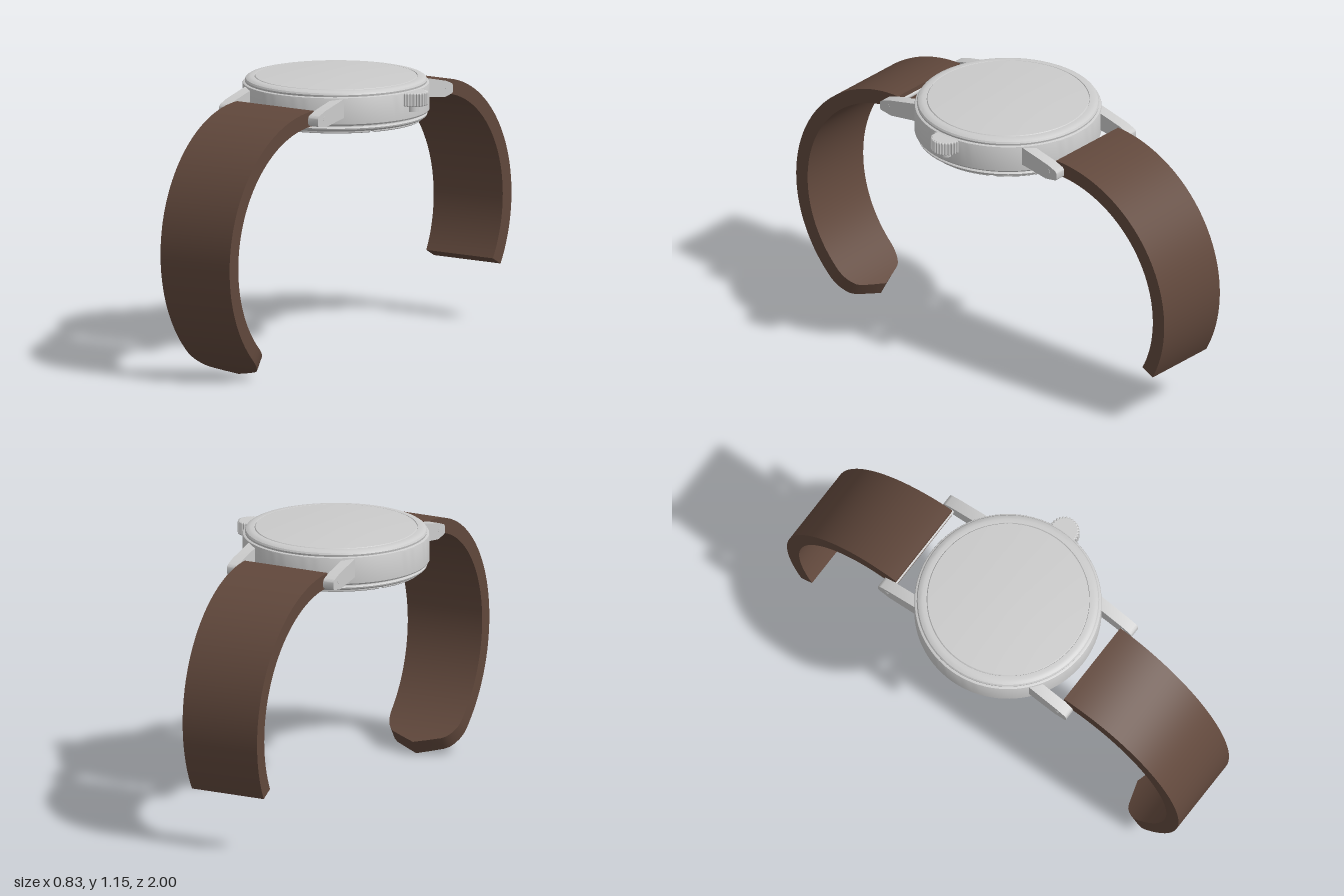
import * as THREE from 'three';
import { toCreasedNormals } from 'three/addons/utils/BufferGeometryUtils.js';

const steel = new THREE.MeshStandardMaterial({ color: 0xcccccc });
const leather = new THREE.MeshStandardMaterial({ color: 0x61483c });
const rad = THREE.MathUtils.degToRad;

function add(parent, name, geometry, material = steel) {
  const mesh = new THREE.Mesh(geometry, material);
  mesh.name = name;
  parent.add(mesh);
  return mesh;
}

// Surface of revolution from [radius, y] pairs listed bottom to top
function turned(points, segments = 96) {
  const g = new THREE.LatheGeometry(points.map(p => new THREE.Vector2(...p)), segments);
  return toCreasedNormals(g, rad(28));
}

// Curved band: rectangular sections swept along an arc, rows are [angle, halfWidth]
function strapGeometry(rows) {
  const cy = 0.51, cz = 0.43, outer = 0.57, inner = 0.508;
  const pos = [];
  const rings = rows.map(([deg, h]) => {
    const s = Math.sin(rad(deg)), c = Math.cos(rad(deg));
    return [[-h, outer], [h, outer], [h, inner], [-h, inner]]
      .map(([x, r]) => [x, cy + r * s, cz + r * c]);
  });
  const tri = (a, b, c) => pos.push(...a, ...b, ...c);
  for (let i = 0; i < rings.length - 1; i++) {
    const p = rings[i], q = rings[i + 1];
    for (let k = 0; k < 4; k++) {
      const n = (k + 1) % 4;
      tri(p[k], q[k], p[n]);
      tri(p[n], q[k], q[n]);
    }
  }
  const a = rings[0], b = rings[rings.length - 1];
  tri(a[0], a[1], a[2]); tri(a[0], a[2], a[3]);
  tri(b[0], b[2], b[1]); tri(b[0], b[3], b[2]);
  const g = new THREE.BufferGeometry();
  g.setAttribute('position', new THREE.Float32BufferAttribute(pos, 3));
  return toCreasedNormals(g, rad(30));
}

// Evenly spaced strap rows with a gentle taper
function taperRows(endAngle, steps) {
  return Array.from({ length: steps + 1 }, (_, i) => {
    const angle = 90 + (endAngle - 90) * i / steps;
    return [angle, 0.193 - 0.03 * (90 - angle) / 137];
  });
}

// Case back plate outline with six opener slots and a round recess
function backPlateGeometry() {
  const R = 0.35, depth = 0.05, half = 0.011;
  const shape = new THREE.Shape();
  const da = Math.asin(half / R);
  for (let i = 0; i < 6; i++) {
    const a = rad(30 + 60 * i), c = Math.cos(a), s = Math.sin(a);
    const put = (r, w) => {
      const x = r * c - w * s, y = r * s + w * c;
      if (i === 0 && r > 0.34 && w < 0) shape.moveTo(x, y); else shape.lineTo(x, y);
    };
    put(R * Math.cos(da), -half);
    put(R - depth, -half);
    put(R - depth, half);
    put(R * Math.cos(da), half);
    shape.absarc(0, 0, R, a + da, a + rad(60) - da, false);
  }
  const hole = new THREE.Path();
  hole.absarc(0, 0, 0.25, 0, Math.PI * 2, true);
  shape.holes.push(hole);
  const g = new THREE.ExtrudeGeometry(shape, {
    depth: 0.008, curveSegments: 24, bevelEnabled: true,
    bevelThickness: 0.003, bevelSize: 0.003, bevelSegments: 1,
  });
  g.rotateX(-Math.PI / 2);
  g.translate(0, 0.968, 0);
  return toCreasedNormals(g, rad(30));
}

// Tapering lug, drawn as z and y, extruded across x
function lugGeometry() {
  const s = new THREE.Shape();
  s.moveTo(0.27, 1.035);
  s.lineTo(0.3, 1.035);
  s.lineTo(0.42, 1.016);
  s.lineTo(0.47, 1.024);
  s.quadraticCurveTo(0.48, 1.026, 0.48, 1.035);
  s.lineTo(0.48, 1.055);
  s.quadraticCurveTo(0.478, 1.066, 0.465, 1.07);
  s.lineTo(0.43, 1.083);
  s.lineTo(0.3, 1.113);
  s.lineTo(0.27, 1.113);
  const g = new THREE.ExtrudeGeometry(s, { depth: 0.048, bevelEnabled: false, curveSegments: 4 });
  g.rotateY(-Math.PI / 2);
  g.translate(0.024, 0, 0);
  return toCreasedNormals(g, rad(30));
}

// Fluted crown outline, standing upright
function crownGeometry() {
  const shape = new THREE.Shape();
  const teeth = 28;
  for (let i = 0; i < teeth * 4; i++) {
    const a = i / (teeth * 4) * Math.PI * 2;
    const r = i % 4 < 2 ? 0.061 : 0.055;
    shape[i ? 'lineTo' : 'moveTo'](r * Math.cos(a), r * Math.sin(a));
  }
  const g = new THREE.ExtrudeGeometry(shape, {
    depth: 0.046, bevelEnabled: true, bevelThickness: 0.005, bevelSize: 0.004,
    bevelOffset: -0.002, bevelSegments: 2,
  });
  g.rotateX(-Math.PI / 2);
  g.translate(0, 1.067, 0);
  return g;
}

export function createModel() {
  const model = new THREE.Group();
  model.name = 'wristwatch';
  const watch = new THREE.Group();
  watch.name = 'watch';
  watch.position.x = -0.034;
  model.add(watch);

  // Case
  add(watch, 'caseBody', turned([
    [0, 1.0], [0.372, 1.0], [0.38, 1.002], [0.384, 1.008], [0.384, 1.112],
    [0.382, 1.117], [0.376, 1.12], [0, 1.12],
  ]));
  add(watch, 'bezel', turned([
    [0.372, 1.118], [0.374, 1.128], [0.37, 1.135], [0.362, 1.14], [0.35, 1.143], [0.335, 1.143], [0.332, 1.138],
  ]));
  add(watch, 'crystal', turned([
    [0.335, 1.138], [0.33, 1.144], [0.25, 1.149], [0.15, 1.153], [0.07, 1.155], [0, 1.1555],
  ]));

  // Case back
  add(watch, 'caseBackRim', turned([
    [0, 0.973], [0.352, 0.973], [0.365, 0.977], [0.373, 0.983], [0.375, 0.989],
    [0.371, 0.993], [0.366, 0.995], [0.366, 1.002],
  ]));
  add(watch, 'caseBackPlate', backPlateGeometry());

  // Crown and its stem
  const crown = add(watch, 'crown', crownGeometry());
  const stem = add(watch, 'crownStem', new THREE.CylinderGeometry(0.025, 0.025, 0.04, 24));
  crown.position.x = 0.386;
  stem.position.set(0.386, 1.055, 0);

  // Lugs and spring bars, front and back
  const lug = lugGeometry();
  for (const end of ['front', 'back']) {
    const side = new THREE.Group();
    side.name = end + 'Attachment';
    if (end === 'back') side.rotation.y = Math.PI;
    watch.add(side);
    for (const s of [-1, 1]) add(side, end + 'Lug', lug).position.x = s * 0.224;
    const bar = add(side, end + 'SpringBar', new THREE.CylinderGeometry(0.01, 0.01, 0.498, 16));
    bar.rotation.z = Math.PI / 2;
    bar.position.set(0, 1.052, 0.434);
  }

  // Long strap with a pointed tip
  const tip = [[-49.5, 0.16], [-52, 0.153], [-54.5, 0.142], [-56.5, 0.129],
    [-58, 0.11], [-60.4, 0.056], [-62.8, 0.0005]];
  add(watch, 'longStrap', strapGeometry([...taperRows(-47, 48), ...tip]), leather);

  // Short strap with a straight end
  add(watch, 'shortStrap', strapGeometry(taperRows(-28.4, 42)), leather).rotation.y = Math.PI;

  return model;
}
